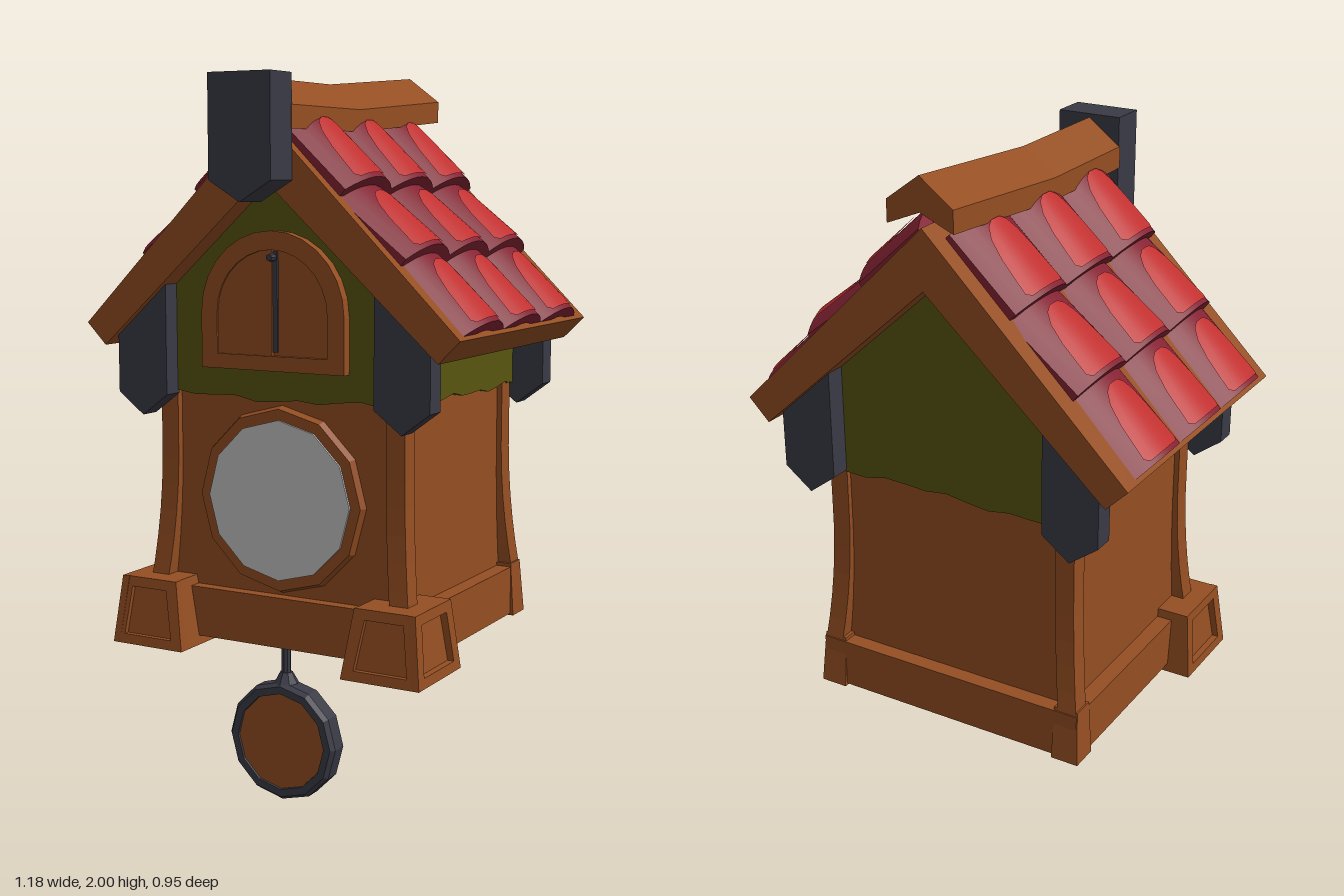
import * as THREE from 'three';
import { toCreasedNormals } from 'three/addons/utils/BufferGeometryUtils.js';

const mat = (name, color) => Object.assign(new THREE.MeshStandardMaterial({ color }), { name });

// Faceted normals
function flat(g) {
  const f = g.index ? g.toNonIndexed() : g;
  f.computeVertexNormals();
  return f;
}

// Move every vertex by a rule
function warp(g, rule) {
  const p = g.attributes.position, v = new THREE.Vector3();
  for (let i = 0; i < p.count; i++) {
    rule(v.fromBufferAttribute(p, i), i);
    p.setXYZ(i, v.x, v.y, v.z);
  }
  return g;
}

// Mirror across x and restore the corner order
function mirrorX(g) {
  const f = flat(g.clone()), p = f.attributes.position, a = p.array.slice();
  for (let t = 0; t < p.count; t += 3)
    [0, 2, 1].forEach((k, j) => {
      const s = (t + k) * 3;
      p.setXYZ(t + j, -a[s], a[s + 1], a[s + 2]);
    });
  return flat(f);
}

const outline = pts => new THREE.Shape(pts.map(p => new THREE.Vector2(p[0], p[1])));

function extrude(shape, z0, z1, hole) {
  if (hole) shape.holes.push(hole);
  return new THREE.ExtrudeGeometry(shape, { depth: z1 - z0, bevelEnabled: false, curveSegments: 7 }).translate(0, 0, z0);
}

function box(x0, x1, y0, y1, z0, z1, seg = 1) {
  return new THREE.BoxGeometry(x1 - x0, y1 - y0, z1 - z0, 1, seg, 1)
    .translate((x0 + x1) / 2, (y0 + y1) / 2, (z0 + z1) / 2);
}

// Disc facing z
const disc = (r0, r1, y, z0, z1, n = 12) =>
  flat(new THREE.CylinderGeometry(r1, r0, z1 - z0, n).rotateX(Math.PI / 2).translate(0, y, (z0 + z1) / 2));

// Arch or half arch: a0..a1 is the part of the rounded top that is kept
function arch(r, y0, ys, a0 = 0, a1 = Math.PI) {
  const s = new THREE.Shape();
  s.moveTo(a1 > 2 ? -r : 0, y0);
  s.lineTo(a0 < 1 ? r : 0, y0);
  if (a0 < 1) s.lineTo(r, ys);
  s.absarc(0, ys, r, a0, a1, false);
  s.closePath();
  return s;
}

// Plaster wall with an uneven lower edge
function wall(half, top, phase) {
  const pts = [];
  for (let i = 0; i <= 12; i++)
    pts.push([-half + half * i / 6, 1.12 + 0.006 * Math.sin(i * 2.1 + phase) + 0.005 * Math.sin(i * 0.8 + phase)]);
  return outline([...pts, ...top]);
}

export function createModel() {
  const model = new THREE.Group();
  model.name = 'cuckooClock';
  const wood = mat('wood', 0x944e22), plaster = mat('olivePlaster', 0x58550f), slate = mat('slate', 0x3a3a46);
  const red = mat('darkRedTile', 0x842333), bright = mat('brightRedTile', 0xc03030), pale = mat('paleDial', 0xc6c6c6);
  const add = (name, g, m) => {
    const mesh = new THREE.Mesh(g, m);
    mesh.name = name;
    model.add(mesh);
    return mesh;
  };
  const pair = (name, g, m) => { add(name + 'Left', g, m); add(name + 'Right', mirrorX(g), m); };

  // Hollow lower case
  add('frontPanel', box(-0.36, 0.36, 0.5, 1.16, 0.24, 0.27), wood);
  add('backPanel', box(-0.36, 0.36, 0.5, 1.16, -0.365, -0.335), wood);
  pair('sidePanel', box(0.335, 0.365, 0.5, 1.16, -0.36, 0.265), wood);

  // Corner posts, flaring outwards at the foot
  for (const [z0, z1, dir] of [[0.235, 0.29, 1], [-0.38, -0.325, -1]]) {
    const post = warp(box(0.325, 0.38, 0.57, 1.15, z0, z1, 8), v => {
      const f = 0.028 * Math.max(0, 1 - (v.y - 0.57) / 0.4) ** 2;
      v.x += f;
      v.z += f * dir;
    });
    pair(dir > 0 ? 'frontPost' : 'backPost', flat(post), wood);
  }

  // Open base frame with back corner blocks
  const rect = (x, z0, z1) => [[-x, -z1], [x, -z1], [x, -z0], [-x, -z0]];
  add('baseFrame', extrude(outline(rect(0.41, -0.41, 0.305)), 0.44, 0.58, outline(rect(0.33, -0.33, 0.22)))
    .rotateX(-Math.PI / 2), wood);
  pair('backCornerBlock', flat(warp(box(0.34, 0.42, 0.435, 0.59, -0.42, -0.34), v => {
    if (v.y > 0.5 && v.z < -0.4) v.z += 0.015;
    if (v.y > 0.5 && v.x > 0.4) v.x -= 0.01;
  })), wood);

  // Front feet: tapered core with framed front and outer faces
  const core = warp(box(0, 1, 0.415, 0.605, 0, 1), v => {
    const top = v.y > 0.5;
    v.x = v.x > 0.5 ? (top ? 0.437 : 0.462) : (top ? 0.282 : 0.25);
    v.z = v.z > 0.5 ? (top ? 0.365 : 0.385) : (top ? 0.17 : 0.15);
  });
  pair('footCore', flat(core), wood);
  const panel = (b0, b1, t0, t1, face) => {
    const b = 0.032;
    const g = extrude(outline([[b0, 0.415], [b1, 0.415], [t1, 0.605], [t0, 0.605]]), face - 0.022, face,
      outline([[b0 + b + 0.005, 0.442], [b1 - b - 0.005, 0.442], [t1 - b, 0.577], [t0 + b, 0.577]]));
    return warp(g, v => { v.z -= 0.022 * (v.y - 0.415) / 0.19; });
  };
  pair('footFrontFrame', flat(panel(0.25, 0.48, 0.28, 0.457, 0.4)), wood);
  pair('footSideFrame', flat(panel(-0.4, -0.15, -0.38, -0.17, 0.48).rotateY(Math.PI / 2)), wood);

  // Plaster gable walls and side bands
  const gable = [[0.385, 1.38], [0, 1.74], [-0.385, 1.38]];
  add('frontGable', extrude(wall(0.385, gable, 0), 0.26, 0.297), plaster);
  add('backGable', extrude(wall(0.385, gable, 2), -0.388, -0.35), plaster);
  const band = extrude(wall(0.341, [[0.341, 1.38], [-0.341, 1.38]], 4), 0.355, 0.386)
    .rotateY(Math.PI / 2).translate(0, 0, -0.046);
  pair('sidePlaster', flat(band), plaster);

  // Slate brackets under the eaves and keystone under the ridge
  const bracket = [[0.32, 1.45], [0.32, 1.12], [0.4, 1.06], [0.48, 1.12], [0.48, 1.3]];
  pair('frontBracket', flat(extrude(outline(bracket), 0.29, 0.35)), slate);
  pair('backBracket', flat(extrude(outline(bracket), -0.445, -0.385)), slate);
  add('keystone', extrude(outline([[-0.093, 1.97], [-0.093, 1.7], [0, 1.645], [0.093, 1.7], [0.093, 1.97]]), 0.37, 0.475), slate);

  // Roof slab
  add('roofSlab', extrude(outline([[0, 1.87], [-0.57, 1.31], [-0.51, 1.25], [0, 1.71], [0.51, 1.25], [0.57, 1.31]]), -0.47, 0.37), wood);

  // Ridge beam, level in front and rising towards the back
  const cap = [[0, 1.96], [-0.095, 1.89], [-0.095, 1.83], [0, 1.87], [0.095, 1.83], [0.095, 1.89]];
  const ridge = new THREE.ExtrudeGeometry(outline(cap), { depth: 0.85, steps: 2, bevelEnabled: false }).translate(0, 0, -0.475);
  add('ridgeBeam', flat(warp(ridge, v => {
    if (v.z < -0.2) v.y += 0.04;
    else if (v.z < 0.2) v.z = 0.01;
  })), wood);

  // Curved roof tiles, three rows of three per side, with a bright patch on each
  const rise = 0.045, halfW = 0.127, thick = 0.035;
  const bow = u => rise * (1 - u * u);
  const outer = [], inner = [];
  for (let i = 0; i <= 10; i++) {
    const u = 1 - i / 5;
    outer.push([u * halfW, bow(u)]);
    inner.unshift([u * halfW, bow(u) - thick]);
  }
  const patchV = [0.05, 0.1, 0.5, 0.72, 0.84, 0.89], patchW = [0.07, 0.083, 0.073, 0.06, 0.042, 0.02];
  const rows = [[0.59, 1.35, 0.409, 1.519], [0.43, 1.54, 0.239, 1.689], [0.26, 1.71, 0.075, 1.88]];
  for (const s of [1, -1]) for (const [x0, y0, x1, y1] of rows) {
    const len = Math.hypot(x1 - x0, y1 - y0);
    const up = new THREE.Vector3(s * (x1 - x0) / len, (y1 - y0) / len, 0);
    const normal = new THREE.Vector3(s * up.y, Math.abs(up.x), 0);
    const tile = toCreasedNormals(extrude(outline([...outer, ...inner]), 0, len), 0.6);
    const patch = warp(new THREE.PlaneGeometry(1, 1, 6, 5), (v, i) => {
      const row = Math.floor(i / 7), x = v.x * 2 * patchW[row];
      v.set(x, bow(x / halfW) + 0.004, patchV[row] * len);
    });
    patch.computeVertexNormals();
    for (const z of [0.21, -0.04, -0.29]) {
      const m = new THREE.Matrix4().makeBasis(new THREE.Vector3(0, 0, s), normal, up)
        .setPosition(s * x0 - normal.x * rise, y0 - normal.y * rise, z);
      add('roofTile', tile.clone().applyMatrix4(m), red);
      add('tilePatch', patch.clone().applyMatrix4(m), bright);
    }
  }

  // Arched double door
  add('doorFrame', extrude(arch(0.22, 1.2, 1.35), 0.295, 0.325, arch(0.17, 1.24, 1.35)), wood);
  add('doorLeafRight', extrude(arch(0.17, 1.24, 1.35, Math.PI / 2, Math.PI), 0.295, 0.32), wood);
  add('doorLeafLeft', extrude(arch(0.17, 1.24, 1.35, 0, Math.PI / 2), 0.295, 0.31), wood);
  add('doorGap', box(0, 0.014, 1.25, 1.515, 0.305, 0.316), slate);
  add('doorKnob', disc(0.013, 0.009, 1.5, 0.31, 0.335, 8), slate);

  // Dial with its twelve-sided surround, and the works behind it
  add('dialSurround', disc(0.26, 0.25, 0.845, 0.265, 0.29), wood);
  add('dial', disc(0.22, 0.22, 0.845, 0.288, 0.296), pale);
  add('works', disc(0.21, 0.21, 0.8, 0.17, 0.245), slate);

  // Pendulum
  const bob = [[0, -0.035], [0.155, -0.035], [0.168, -0.022], [0.168, 0.022], [0.158, 0.035], [0.137, 0.035], [0.135, 0.024], [0, 0.024]];
  add('pendulumBob', flat(new THREE.LatheGeometry(bob.map(p => new THREE.Vector2(...p)), 12)
    .rotateX(Math.PI / 2).translate(0, 0.168, 0.255)), slate);
  add('pendulumFace', disc(0.136, 0.136, 0.168, 0.277, 0.284), wood);
  add('pendulumCollar', flat(new THREE.CylinderGeometry(0.018, 0.035, 0.03, 8).translate(0, 0.345, 0.255)), slate);
  add('pendulumRod', flat(new THREE.CylinderGeometry(0.013, 0.013, 0.36, 8).translate(0, 0.51, 0.255)), slate);

  return model;
}
